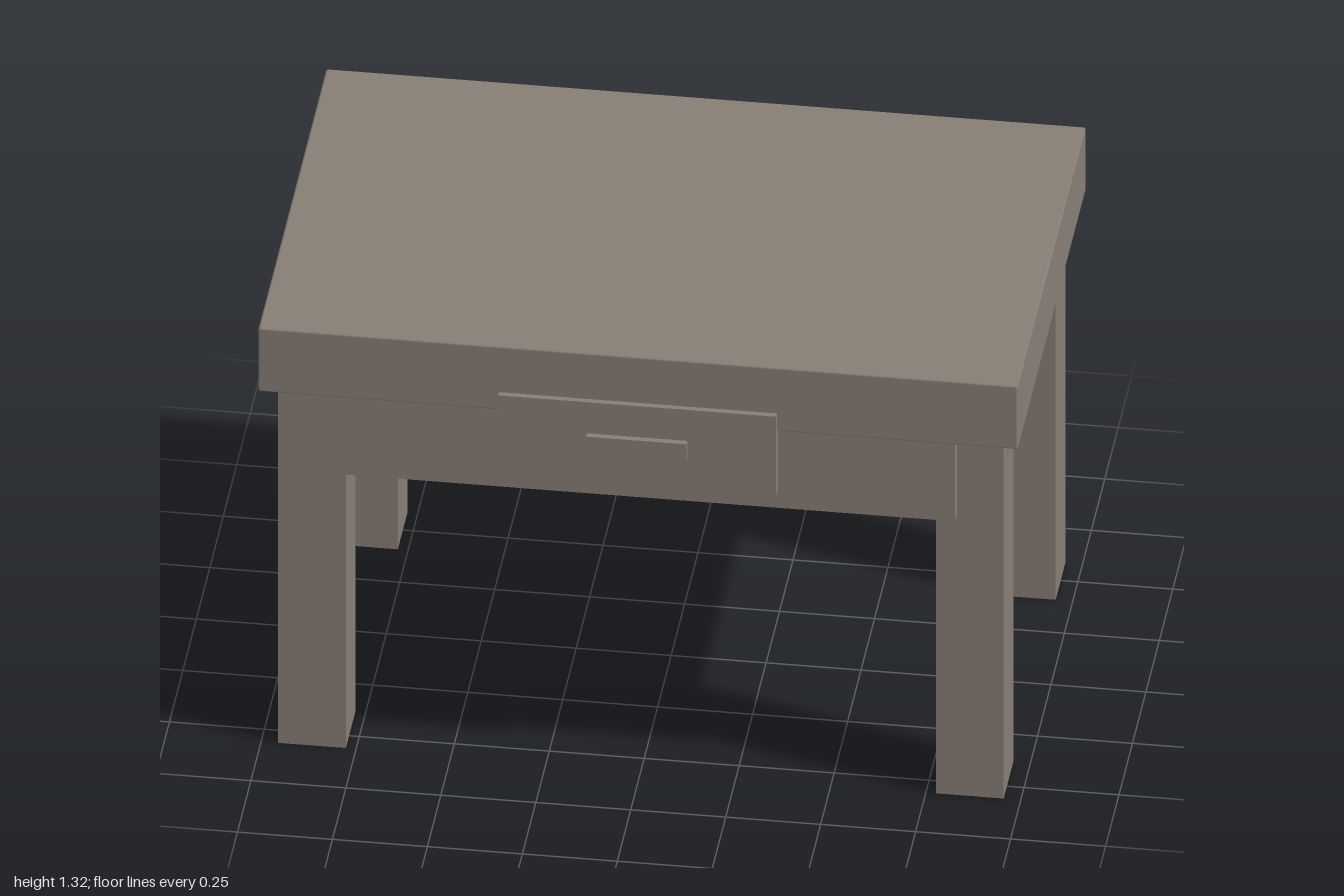
import * as THREE from 'three';
import { RoundedBoxGeometry } from 'three/addons/geometries/RoundedBoxGeometry.js';

export function createModel() {
  const table = new THREE.Group();
  table.name = 'table';
  const wood = new THREE.MeshStandardMaterial({ color: 0x877e75 });
  wood.name = 'greyBrownWood';

  // A box between two bounds on each axis, optionally with eased edges
  function block(name, [x0, x1], [y0, y1], [z0, z1], bevel = 0) {
    const size = [x1 - x0, y1 - y0, z1 - z0];
    const geometry = bevel
      ? new RoundedBoxGeometry(...size, 1, bevel)
      : new THREE.BoxGeometry(...size);
    const mesh = new THREE.Mesh(geometry, wood);
    mesh.name = name;
    mesh.position.set((x0 + x1) / 2, (y0 + y1) / 2, (z0 + z1) / 2);
    table.add(mesh);
  }

  // Thick top with slightly eased edges
  block('tableTop', [-1, 1], [1.12, 1.317], [-0.648, 0.615], 0.006);

  // Four square legs
  for (const [end, z] of [['front', [0.38, 0.56]], ['back', [-0.588, -0.406]]]) {
    block(end + 'LeftLeg', [0.777, 0.955], [0, 1.125], z);
    block(end + 'RightLeg', [-0.955, -0.777], [0, 1.125], z);
  }

  // Long rails that wrap just past the faces of the legs
  block('frontRail', [-0.832, 0.832], [0.87, 1.123], [0.465, 0.594]);
  block('backRail', [-0.832, 0.832], [0.87, 1.123], [-0.622, -0.475]);

  // Drawer front and its pull
  block('drawerFront', [-0.366, 0.366], [0.93, 1.176], [0.58, 0.631]);
  block('drawerPull', [-0.132, 0.132], [1.025, 1.08], [0.62, 0.648]);

  return table;
}
